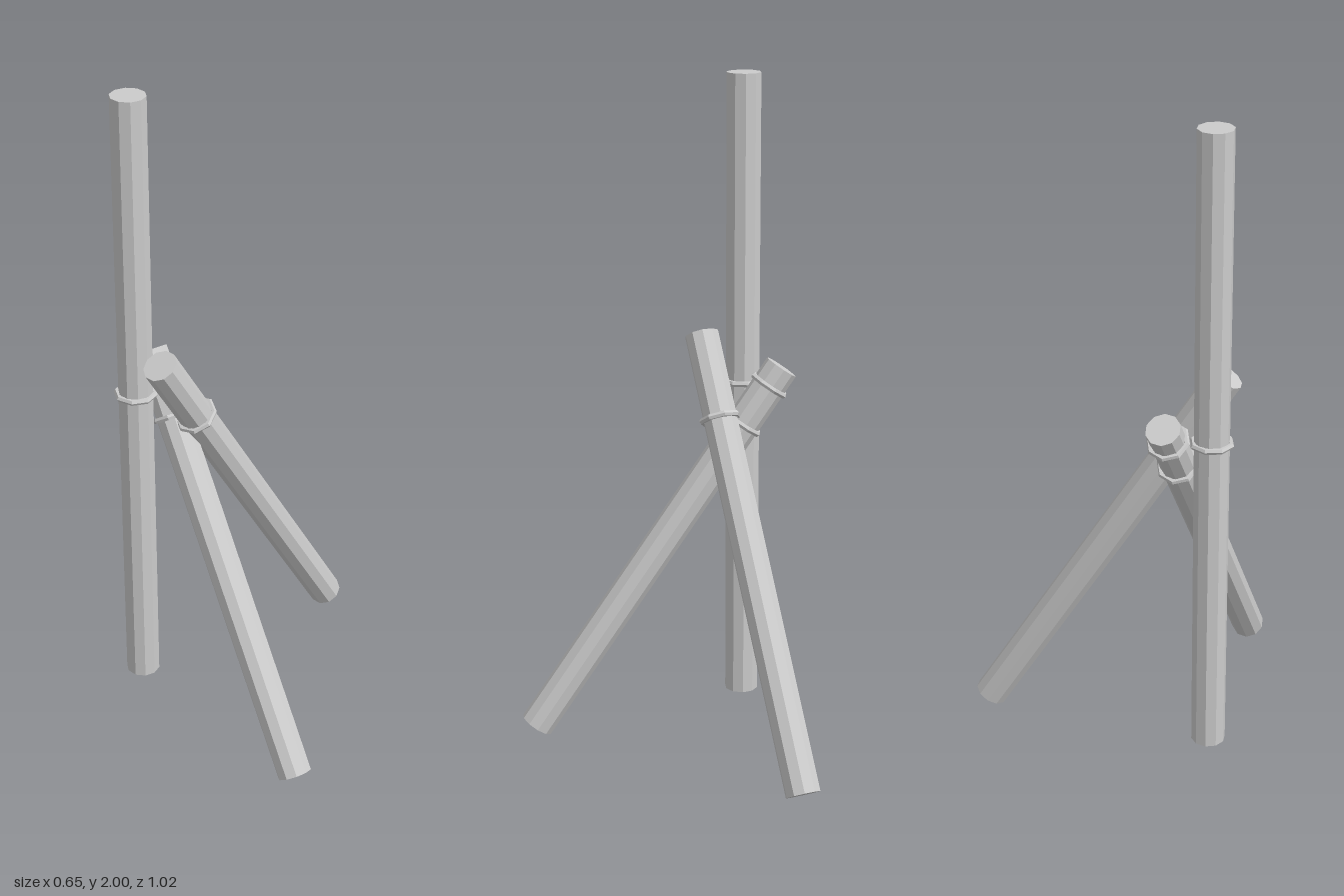
import * as THREE from 'three';

const POLE_RADIUS = 0.052;
const UP = new THREE.Vector3(0, 1, 0);

const material = new THREE.MeshStandardMaterial({ color: 0xcccccc, flatShading: true });

// A ten-sided pole between two points, with rope rings at the given heights
function lashedPole(name, bottom, top, ringHeights) {
  const group = new THREE.Group();
  group.name = name;
  const a = new THREE.Vector3(...bottom);
  const b = new THREE.Vector3(...top);
  const length = a.distanceTo(b);
  group.position.copy(a);
  group.quaternion.setFromUnitVectors(UP, b.clone().sub(a).normalize());

  const poleGeometry = new THREE.CylinderGeometry(POLE_RADIUS, POLE_RADIUS, length, 10);
  poleGeometry.rotateY(Math.PI / 2).translate(0, length / 2, 0);
  const pole = new THREE.Mesh(poleGeometry, material);
  pole.name = name + 'Shaft';
  group.add(pole);

  // Octagonal rope loops square to the shaft
  for (const y of ringHeights) {
    const ringGeometry = new THREE.TorusGeometry(0.057, 0.009, 6, 8);
    ringGeometry.rotateX(Math.PI / 2);
    const ring = new THREE.Mesh(ringGeometry, material);
    ring.name = 'ropeRing';
    ring.position.y = length * (y - a.y) / (b.y - a.y);
    group.add(ring);
  }
  return group;
}

export function createModel() {
  const model = new THREE.Group();
  model.name = 'lashedPoleTripod';
  model.add(
    lashedPole('uprightPole', [-0.26, 0.045, 0.04], [-0.26, 2, 0.04], [1.065]),
    lashedPole('backLeg', [0.275, 0.03, -0.463], [-0.17, 1.217, 0.132], [0.99]),
    lashedPole('frontLeg', [0.275, 0.03, 0.463], [-0.24, 1.13, -0.105], [0.96, 1.075]),
  );
  return model;
}
